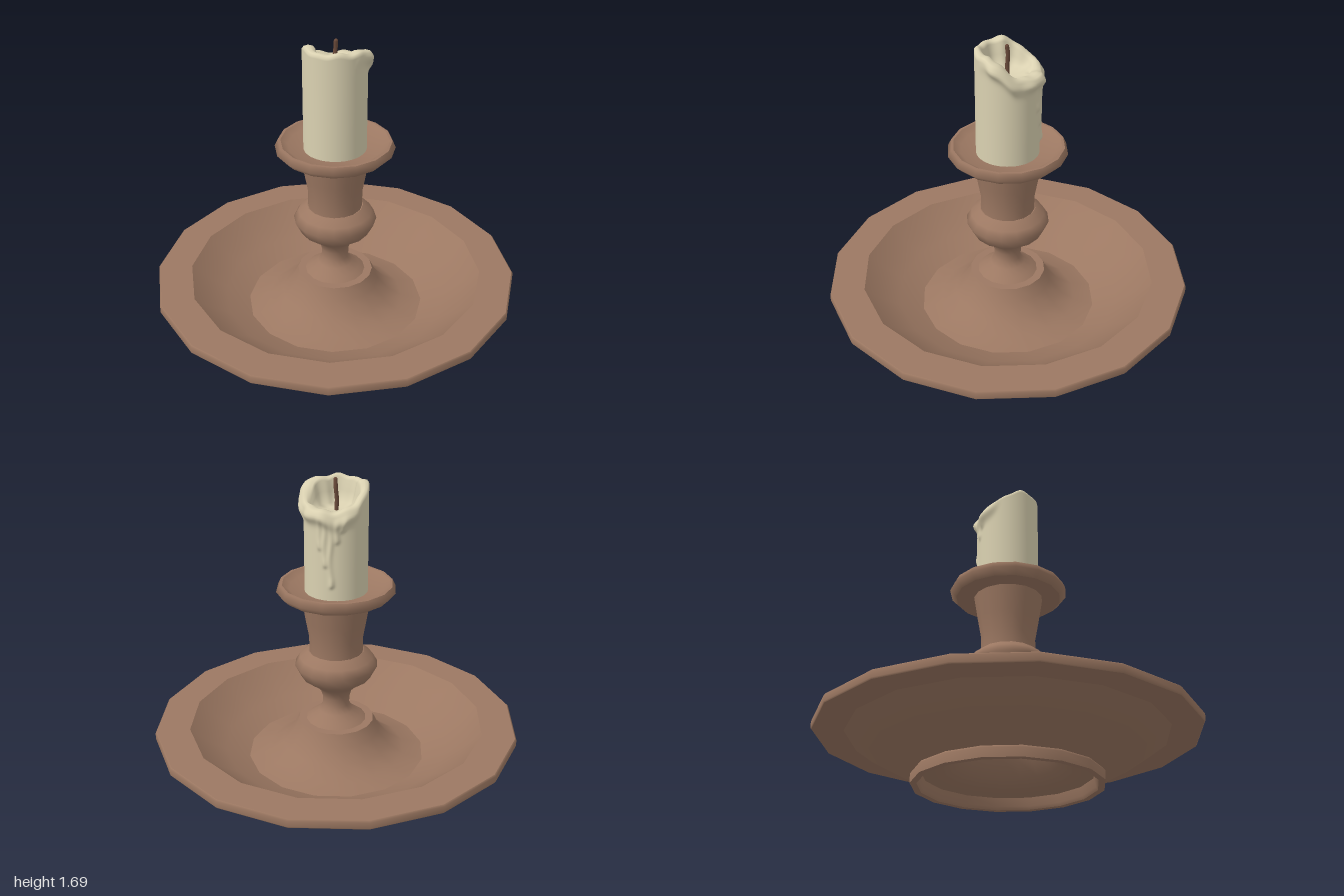
import * as THREE from 'three';

const holderMat = new THREE.MeshStandardMaterial({ color: 0x9c7862 });
holderMat.name = 'clay brown';
const waxMat = new THREE.MeshStandardMaterial({ color: 0xdad1b1 });
waxMat.name = 'cream wax';
const wickMat = new THREE.MeshStandardMaterial({ color: 0x6a4a3a });
wickMat.name = 'wick brown';

const SIDES = 16;

// Turned part: each run is smooth, with a sharp edge between runs
function turned(name, runs) {
  const group = new THREE.Group();
  group.name = name;
  runs.forEach((run, i) => {
    const pts = run.map(([r, y]) => new THREE.Vector2(r, y));
    const mesh = new THREE.Mesh(new THREE.LatheGeometry(pts, SIDES), holderMat);
    mesh.name = `${name}Surface${i + 1}`;
    group.add(mesh);
  });
  return group;
}

const smooth = (v, a, b) => THREE.MathUtils.smoothstep(v, a, b);
const bell = (v, w) => Math.exp(-(v * v) / (w * w));

// Wax drips down the back: angle, lowest point, thickness
const drips = [
  [2.86, 1.36, 0.011], [3.02, 1.27, 0.013], [3.2, 1.16, 0.014],
  [3.4, 1.4, 0.012], [3.58, 1.46, 0.010],
];

// Candle cross-section at one angle, from the base up over the rim to the middle of the pool
function waxProfile(a) {
  const rows = 52, base = 1.07, R = 0.167;
  const h = 1.668 - 0.105 * smooth(Math.cos(a - 3.0), -0.5, 1)
    + 0.005 * Math.sin(5 * a + 1) + 0.004 * Math.sin(9 * a);
  const melt = smooth(Math.cos(a - 2.5), -0.3, 0.4);
  const lip = 0.024 * melt * (1 + 0.3 * Math.sin(5 * a + 0.4) + 0.15 * Math.sin(11 * a));
  const pts = [];
  const top = h - 0.014;
  for (let j = 0; j <= rows; j++) {
    const y = base + (top - base) * (j / rows);
    let r = R + lip * bell(y - (h - 0.045 - 0.01 * Math.sin(4 * a)), 0.034);
    for (const [angle, end, size] of drips) {
      const wobble = 0.03 * Math.sin(y * 25 + angle * 9);
      const along = smooth(y, end - 0.015, end + 0.01) * (0.6 + 0.4 * bell(y - end - 0.02, 0.03))
        * (1 - smooth(y, h - 0.08, h - 0.02));
      r += size * along * bell(a - angle - wobble, 0.075);
    }
    pts.push([r, y]);
  }
  const edge = pts[rows][0];
  const inner = 0.122 + 0.008 * Math.sin(3 * a + 2) + 0.005 * Math.sin(7 * a);
  const floor = 1.53;
  pts.push([edge - 0.008, h - 0.004], [(edge + inner) / 2, h], [inner + 0.008, h - 0.006]);
  pts.push([inner - 0.002, h - 0.018]);
  pts.push([inner - 0.012, (h - 0.018) * 0.5 + floor * 0.5 + 0.004]);
  pts.push([inner - 0.03, floor + 0.006], [0.05, floor - 0.006], [0.001, floor - 0.008]);
  return pts;
}

function waxGeometry() {
  const N = 144, pos = [], index = [];
  let count = 0;
  for (let i = 0; i < N; i++) {
    const a = (i / N) * Math.PI * 2;
    const profile = waxProfile(a);
    count = profile.length;
    for (const [r, y] of profile) pos.push(Math.sin(a) * r, y, Math.cos(a) * r);
  }
  for (let i = 0; i < N; i++) {
    const p = i * count, q = ((i + 1) % N) * count;
    for (let j = 0; j < count - 1; j++) {
      index.push(p + j, q + j, q + j + 1, p + j, q + j + 1, p + j + 1);
    }
  }
  const g = new THREE.BufferGeometry();
  g.setAttribute('position', new THREE.Float32BufferAttribute(pos, 3));
  g.setIndex(index);
  g.computeVertexNormals();
  return g;
}

export function createModel() {
  const model = new THREE.Group();
  model.name = 'candlestick';

  // Wide dish with a hollow foot and a raised centre
  model.add(turned('dish', [
    [[0, 0.28], [0.165, 0.28]],
    [[0.165, 0.28], [0.2, 0.2], [0.26, 0.12], [0.34, 0.08], [0.44, 0.065]],
    [[0.44, 0.065], [0.45, 0.02], [0.46, 0.003]],
    [[0.46, 0.003], [0.494, 0.003]],
    [[0.494, 0.003], [0.494, 0.05], [0.486, 0.062]],
    [[0.486, 0.062], [0.6, 0.115], [0.74, 0.19], [0.835, 0.26]],
    [[0.835, 0.26], [0.995, 0.26]],
    [[0.995, 0.26], [1, 0.267], [1, 0.3], [0.992, 0.308]],
    [[0.992, 0.308], [0.812, 0.308]],
    [[0.812, 0.308], [0.73, 0.235], [0.62, 0.165], [0.49, 0.11]],
    [[0.49, 0.11], [0.38, 0.135], [0.3, 0.185], [0.24, 0.255], [0.208, 0.322]],
    [[0.208, 0.322], [0.155, 0.322]],
  ]));

  // Flared neck and round knop
  model.add(turned('stem', [
    [[0.165, 0.322], [0.135, 0.345], [0.095, 0.375], [0.073, 0.41], [0.075, 0.46],
      [0.087, 0.5], [0.12, 0.535], [0.19, 0.585], [0.226, 0.655], [0.2, 0.7], [0.152, 0.737]],
  ]));

  // Candle socket with its drip cup
  model.add(turned('socket', [
    [[0.147, 0.735], [0.147, 0.82], [0.165, 0.92], [0.187, 1.056]],
    [[0.187, 1.056], [0.285, 1.056]],
    [[0.285, 1.056], [0.319, 1.09], [0.302, 1.126]],
    [[0.302, 1.126], [0.288, 1.126]],
    [[0.288, 1.126], [0.25, 1.1], [0.16, 1.085]],
  ]));

  // Melted candle
  const candle = new THREE.Mesh(waxGeometry(), waxMat);
  candle.name = 'candle';
  model.add(candle);

  // Slightly bent wick with a rounded tip
  const path = new THREE.CatmullRomCurve3([
    new THREE.Vector3(0, 1.51, 0), new THREE.Vector3(-0.003, 1.58, 0.002),
    new THREE.Vector3(0.002, 1.64, -0.002), new THREE.Vector3(0.004, 1.682, 0.003),
  ]);
  const wick = new THREE.Mesh(new THREE.TubeGeometry(path, 10, 0.011, 8), wickMat);
  wick.name = 'wick';
  const tip = new THREE.Mesh(new THREE.SphereGeometry(0.011, 8, 6), wickMat);
  tip.name = 'wickTip';
  tip.position.set(0.004, 1.682, 0.003);
  model.add(wick, tip);

  return model;
}
